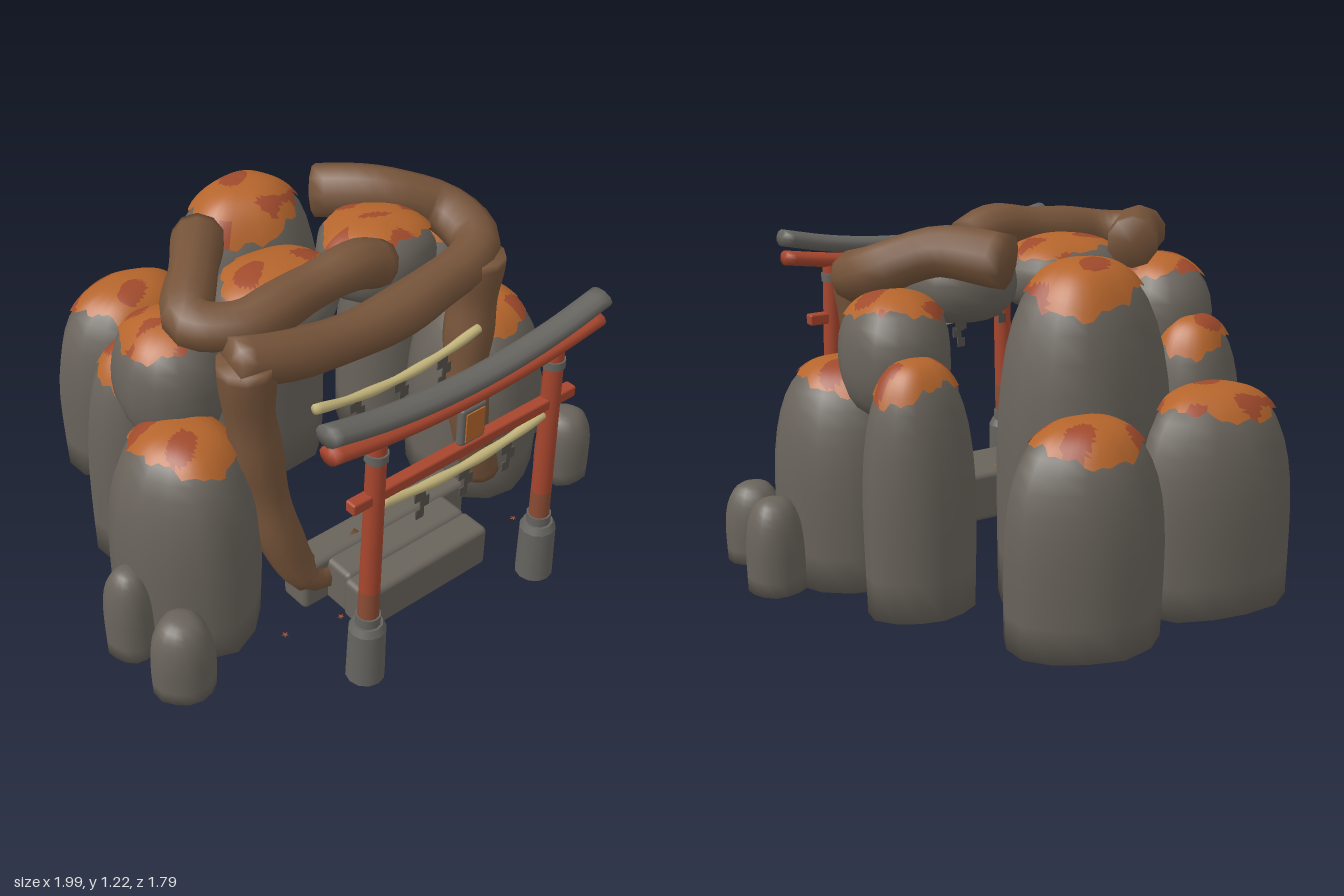
import * as THREE from 'three';
import { mergeVertices } from 'three/addons/utils/BufferGeometryUtils.js';
import { ParametricGeometry } from 'three/addons/geometries/ParametricGeometry.js';
import { RoundedBoxGeometry } from 'three/addons/geometries/RoundedBoxGeometry.js';

const mat = (name, color, side = THREE.FrontSide) => {
  const m = new THREE.MeshStandardMaterial({ color, side });
  m.name = name;
  return m;
};

export function createModel() {
  const root = new THREE.Group();
  root.name = 'rockShrine';
  const stone = mat('stone', 0x69635b);
  const moss = mat('orangeMoss', 0xb5652c, THREE.DoubleSide);
  const redMoss = mat('redMoss', 0xa04a2c, THREE.DoubleSide);
  const wood = mat('bark', 0x76543a);
  const red = mat('redPaint', 0xa8462e);
  const worn = mat('wornPaint', 0x8a4c34);
  const slate = mat('slate', 0x66645f);
  const straw = mat('straw', 0xc4b57c);
  const paper = mat('darkPaper', 0x57534d, THREE.DoubleSide);

  const add = (name, geo, material, x = 0, y = 0, z = 0, parent = root) => {
    const m = new THREE.Mesh(geo, material);
    m.name = name;
    m.position.set(x, y, z);
    parent.add(m);
    return m;
  };
  // weld the seam so that the shading is smooth all round
  const weld = (geo) => {
    geo.deleteAttribute('uv');
    geo.deleteAttribute('normal');
    const g = mergeVertices(geo, 1e-5);
    g.computeVertexNormals();
    return g;
  };

  // Rock: a blunt dome on a flat base, or a rounded boulder, with an optional moss cap
  function rock(name, x, z, rx, rz, y0, y1, { round = false, cap = 0, seed = 1 } = {}) {
    const group = new THREE.Group();
    group.name = name;
    group.position.set(x, y0, z);
    root.add(group);
    const h = y1 - y0;
    const surf = (f, a, out, k = 1) => {
      const r = round
        ? Math.pow(Math.max(0, 1 - Math.pow(Math.abs(2 * f - 1), 2.5)), 0.46)
        : Math.pow(Math.max(0, 1 - f ** 4), 0.37) * (0.99 + 0.08 * Math.min(f, 0.5));
      const w = 1 + 0.03 * Math.sin(3 * a + seed * 2.1) + 0.025 * Math.sin(5 * a + seed * 1.3 + f * 2);
      return out.set(Math.sin(a) * rx * r * w * k, f * h, Math.cos(a) * rz * r * w * k);
    };
    const body = new ParametricGeometry((u, v, out) => {
      const s = Math.max(0, (v * 13 - 1) / 12);
      if (round) surf((1 - Math.cos(Math.PI * v)) / 2, u * Math.PI * 2, out);
      else surf(1 - (1 - s) ** 2, u * Math.PI * 2, out, v === 0 ? 0 : 1);
    }, 14, 13);
    add('boulder', weld(body), stone, 0, 0, 0, group);
    if (!cap) return;
    // ragged moss skin over the crown
    const skin = weld(new ParametricGeometry((u, v, out) => {
      const a = u * Math.PI * 2;
      const drop = cap * (1 + 0.3 * Math.sin(2 * a + seed) + 0.1 * Math.sin(9 * a + seed) + 0.08 * Math.sin(17 * a));
      surf(1 - drop / h * (1 - v) ** 2, a, out, 1.02);
      out.y += 0.009;
    }, 48, 12));
    const parts = [[], []], p = skin.attributes.position, idx = skin.index.array;
    for (let i = 0; i < idx.length; i += 3) {
      const c = new THREE.Vector3();
      for (let k = 0; k < 3; k++) c.add(new THREE.Vector3().fromBufferAttribute(p, idx[i + k]));
      const n = Math.sin(c.x * 10 + seed * 3) + Math.sin(c.z * 13 - seed) + Math.sin((c.x + c.z) * 8 + seed);
      parts[n > 0.9 ? 1 : 0].push(idx[i], idx[i + 1], idx[i + 2]);
    }
    skin.setIndex([...parts[0], ...parts[1]]);
    skin.addGroup(0, parts[0].length, 0);
    skin.addGroup(parts[0].length, parts[1].length, 1);
    add('mossCap', skin, [moss, redMoss], 0, 0, 0, group);
  }

  rock('frontRockRight', -0.662, 0.235, 0.243, 0.258, 0, 0.765, { cap: 0.065, seed: 1 });
  rock('frontRockLeft', 0.615, 0.24, 0.23, 0.25, 0, 0.75, { cap: 0.07, seed: 2 });
  rock('sideRockRight', -0.56, -0.17, 0.185, 0.162, 0, 0.83, { cap: 0.1, seed: 3 });
  rock('sideRockLeft', 0.56, -0.18, 0.185, 0.162, 0, 0.83, { cap: 0.1, seed: 4 });
  rock('upperRockRight', -0.55, 0.02, 0.185, 0.205, 0.58, 1.02, { round: true, cap: 0.065, seed: 5 });
  rock('upperRockLeft', 0.525, 0.02, 0.18, 0.205, 0.58, 1.01, { round: true, cap: 0.065, seed: 6 });
  rock('backRockRight', -0.29, -0.62, 0.29, 0.215, 0, 0.72, { cap: 0.075, seed: 7 });
  rock('backRockLeft', 0.245, -0.675, 0.27, 0.21, 0, 0.705, { cap: 0.08, seed: 8 });
  rock('tallRock', 0.04, -0.36, 0.305, 0.25, 0, 1.125, { cap: 0.115, seed: 9 });
  rock('roofRockRight', -0.18, 0.1, 0.23, 0.195, 0.85, 1.11, { round: true, cap: 0.045, seed: 10 });
  rock('roofRockLeft', 0.23, 0.11, 0.21, 0.195, 0.86, 1.14, { round: true, cap: 0.05, seed: 11 });
  [[-0.878, 0.5, 0.103, 0.29], [-0.912, 0.26, 0.085, 0.34], [0.84, 0.51, 0.1, 0.28], [0.895, 0.21, 0.1, 0.32]]
    .forEach(([x, z, r, h], i) => rock('smallStone', x, z, r, r, 0, h, { seed: i + 12 }));

  // Tapered tube with flat closed ends; depth stretches it along z
  function limb(name, pts, r0, r1, material, { depth = 1, sides = 10, seg = 36, knobbly = 0 } = {}) {
    const curve = new THREE.CatmullRomCurve3(pts.map((q) => new THREE.Vector3(...q)));
    const geo = new THREE.TubeGeometry(curve, seg, 1, sides);
    const pos = geo.attributes.position, c = new THREE.Vector3(), v = new THREE.Vector3();
    for (let i = 0; i < pos.count; i++) {
      const ring = Math.floor(i / (sides + 1)), t = ring / seg;
      curve.getPointAt(t, c);
      const end = ring === 0 || ring === seg ? 0 : 1;
      const r = end * (r0 + (r1 - r0) * t) * (1 + knobbly * Math.sin(t * 23));
      v.fromBufferAttribute(pos, i).sub(c).multiplyScalar(r);
      v.z *= depth;
      // the outermost rings close the ends
      curve.getPointAt(THREE.MathUtils.clamp((ring - 1) / (seg - 2), 0, 1), c);
      v.add(c);
      pos.setXYZ(i, v.x, v.y, v.z);
    }
    return add(name, weld(geo), material);
  }

  // Twisted trunks and branches around the cave mouth
  const bark = { knobbly: 0.05 };
  limb('lintelBranch', [[0.22, 1.11, -0.19], [0.38, 1.13, 0], [0.54, 1.06, 0.13], [0.51, 1.01, 0.31],
    [0.25, 0.98, 0.375], [0, 0.96, 0.39], [-0.28, 0.98, 0.385], [-0.54, 1.03, 0.34]], 0.09, 0.08, wood, bark);
  limb('upperBranch', [[-0.28, 1.12, -0.18], [-0.43, 1.13, 0.0], [-0.55, 1.08, 0.15], [-0.44, 1.08, 0.26],
    [-0.2, 1.11, 0.27], [0, 1.13, 0.28], [0.11, 1.09, 0.28]], 0.085, 0.08, wood, bark);
  limb('trunkRight', [[-0.49, 1.02, 0.35], [-0.48, 0.82, 0.35], [-0.45, 0.55, 0.37], [-0.41, 0.3, 0.41],
    [-0.32, 0.11, 0.45], [-0.1, 0.13, 0.445]], 0.095, 0.06, wood, bark);
  limb('trunkLeft', [[0.48, 1.02, 0.35], [0.47, 0.82, 0.35], [0.44, 0.58, 0.37], [0.44, 0.35, 0.41],
    [0.5, 0.12, 0.43]], 0.095, 0.065, wood, bark);

  // Stone steps
  [[0.55, 0.165, 0.12, 0.645], [0.53, 0.175, 0.13, 0.535], [0.73, 0.185, 0.12, 0.435]].forEach(([w, h, d, z]) =>
    add('step', new RoundedBoxGeometry(w, h, d, 2, 0.02), stone, -0.01, h / 2, z));

  // Gate posts
  const gz = 0.83;
  for (const s of [-1, 1]) {
    const post = new THREE.Group();
    post.name = s < 0 ? 'gatePostRight' : 'gatePostLeft';
    post.position.set(s * 0.386 - 0.01, 0, gz);
    post.rotation.z = s * 0.018;
    root.add(post);
    const cyl = (name, a, b, y0, y1, m) =>
      add(name, new THREE.CylinderGeometry(b, a, y1 - y0, 12), m, 0, (y0 + y1) / 2, 0, post);
    cyl('postBase', 0.065, 0.062, 0, 0.205, slate);
    cyl('postBaseTop', 0.062, 0.05, 0.205, 0.23, slate);
    cyl('lowerCollar', 0.042, 0.042, 0.23, 0.265, slate);
    cyl('wornFoot', 0.036, 0.035, 0.265, 0.37, worn);
    cyl('postShaft', 0.035, 0.032, 0.37, 0.97, red);
    cyl('upperCollar', 0.038, 0.038, 0.885, 0.915, slate);
  }

  // Gate beams, sagging in the middle
  const sag = (x0, x1, yEnd, yMid, z) => [0, 1, 2, 3, 4, 5, 6].map((i) => {
    const k = i / 3 - 1;
    return [x0 + (x1 - x0) * i / 6, yMid + (yEnd - yMid) * k * k, z];
  });
  limb('roofBeam', sag(-0.573, 0.553, 1.065, 0.995, gz), 0.031, 0.031, slate, { depth: 1.45 });
  limb('upperBeam', sag(-0.565, 0.545, 0.99, 0.942, gz), 0.027, 0.027, red, { depth: 1.4 });
  add('crossBeam', new RoundedBoxGeometry(0.94, 0.042, 0.042, 2, 0.008), red, -0.01, 0.747, gz);
  add('plaqueFrame', new RoundedBoxGeometry(0.105, 0.14, 0.03, 2, 0.012), slate, -0.01, 0.85, gz + 0.015);
  add('plaqueFace', new THREE.BoxGeometry(0.074, 0.105, 0.008), moss, -0.01, 0.85, gz + 0.031);
  add('plaqueStrut', new THREE.BoxGeometry(0.04, 0.2, 0.02), red, -0.01, 0.85, gz - 0.008);

  // Ropes with zigzag paper streamers
  const zigzag = new THREE.Shape([[-0.012, 0], [0.016, 0], [0.016, -0.035], [0.032, -0.035], [0.032, -0.075],
    [0.012, -0.075], [0.012, -0.115], [-0.02, -0.115], [-0.02, -0.08], [-0.004, -0.08], [-0.004, -0.045],
    [-0.028, -0.045], [-0.028, -0.01], [-0.012, -0.01]].map((q) => new THREE.Vector2(...q)));
  for (const [name, yEnd, yMid, z] of [['gateRope', 0.7, 0.665, gz], ['caveRope', 0.87, 0.825, 0.52]]) {
    limb(name, sag(-0.36, 0.335, yEnd, yMid, z), 0.016, 0.016, straw, { sides: 8, knobbly: 0.1 });
    for (const x of [-0.19, -0.005, 0.18])
      add('streamer', new THREE.ExtrudeGeometry(zigzag, { depth: 0.005, bevelEnabled: false }), paper,
        x, yMid - 0.003 + 0.01 * Math.abs(x) * 4, z);
  }

  // Drifting star-shaped leaves
  const star = new THREE.Shape(Array.from({ length: 10 }, (_, i) => {
    const r = i % 2 ? 0.005 : 0.013, a = i * Math.PI / 5;
    return new THREE.Vector2(Math.sin(a) * r, Math.cos(a) * r);
  }));
  for (const [x, z] of [[-0.59, 0.66], [-0.4, 0.71], [0.37, 0.72], [0.57, 0.67]])
    add('leaf', new THREE.ShapeGeometry(star), redMoss, x, 0.16, z).rotation.x = -Math.PI / 2;

  return root;
}
